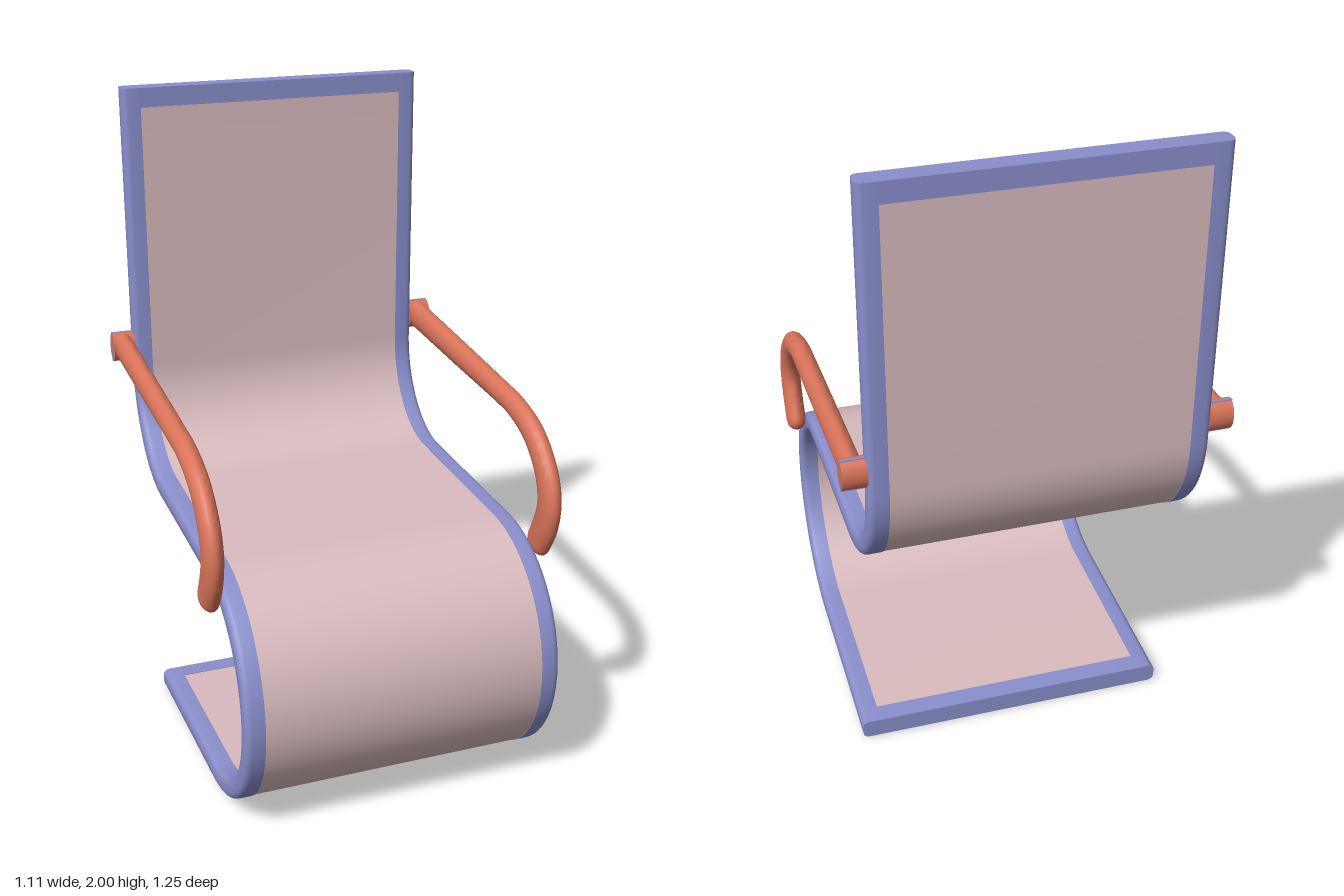
import * as THREE from 'three';
import { mergeVertices, toCreasedNormals } from 'three/addons/utils/BufferGeometryUtils.js';

const HALF = 0.031;   // half thickness of the bent seat
const INNER = 0.43;   // half width of the panel
const OUTER = 0.488;  // half width including the rails

// Sweep a closed section of [x, n] points along a path of [z, y] points.
function sweep(path, sectionAt, crease = 0.6) {
  const pos = [], idx = [];
  const last = path.length - 1;
  const count = sectionAt(0).length;
  path.forEach(([z, y], i) => {
    const a = path[Math.max(i - 1, 0)], b = path[Math.min(i + 1, last)];
    const len = Math.hypot(b[0] - a[0], b[1] - a[1]);
    const tz = (b[0] - a[0]) / len, ty = (b[1] - a[1]) / len;
    for (const [x, n] of sectionAt(i)) pos.push(x, y + n * tz, z - n * ty);
  });
  for (let i = 0; i < last; i++) {
    for (let j = 0; j < count; j++) {
      const a = i * count + j, b = i * count + (j + 1) % count;
      idx.push(a, b, b + count, a, b + count, a + count);
    }
  }
  for (let j = 1; j < count - 1; j++) {
    const e = last * count;
    idx.push(0, j + 1, j, e, e + j, e + j + 1);
  }
  const geometry = new THREE.BufferGeometry();
  geometry.setAttribute('position', new THREE.Float32BufferAttribute(pos, 3));
  geometry.setIndex(idx);
  return toCreasedNormals(mergeVertices(geometry), crease);
}

function arc(cz, cy, rz, ry, from, to, steps) {
  return Array.from({ length: steps + 1 }, (_, i) => {
    const t = THREE.MathUtils.degToRad(from + (to - from) * i / steps);
    return [cz + rz * Math.cos(t), cy + ry * Math.sin(t)];
  });
}

const rect = (x0, x1, h) => [[x0, -h], [x1, -h], [x1, h], [x0, h]];

// Rail section: flat inside, softly rounded outside.
function railSection(side) {
  const r = 0.02, pts = [[INNER, -HALF]];
  for (const [cy, start] of [[-HALF + r, -90], [HALF - r, 0]]) {
    for (let k = 0; k <= 4; k++) {
      const t = THREE.MathUtils.degToRad(start + k * 22.5);
      pts.push([OUTER - r + r * Math.cos(t), cy + r * Math.sin(t)]);
    }
  }
  pts.push([INNER, HALF]);
  return side > 0 ? pts : pts.map(([x, n]) => [-x, n]).reverse();
}

export function createModel() {
  const blue = new THREE.MeshStandardMaterial({ color: 0x8a8fcc });
  blue.name = 'frame blue';
  const pink = new THREE.MeshStandardMaterial({ color: 0xd9bbbe });
  pink.name = 'panel pink';
  const coral = new THREE.MeshStandardMaterial({ color: 0xd9745a });
  coral.name = 'arm coral';

  const model = new THREE.Group();
  model.name = 'cantileverChair';
  const add = (name, geometry, material) => {
    const mesh = new THREE.Mesh(geometry, material);
    mesh.name = name;
    model.add(mesh);
    return mesh;
  };

  // Side profile: base, front bend, seat, rear bend, backrest
  const baseEnd = [-0.365, 0.033], baseInner = [-0.305, 0.0347];
  const topInner = [-0.59, 1.94], topEnd = [-0.59, 2];
  const bends = [
    ...arc(0.245, 0.4, 0.35, 0.35, -90, 90, 40),
    ...arc(-0.28, 1.1, 0.31, 0.33, -90, -180, 20),
  ];

  // Upholstered panel and the crossbars closing it at both ends
  add('panel', sweep([baseInner, ...bends, topInner], () => rect(-INNER, INNER, HALF - 0.002)), pink);
  add('baseCrossbar', sweep([baseEnd, baseInner], () => rect(-INNER, INNER, HALF)), blue);
  add('topCrossbar', sweep([topInner, topEnd], () => rect(-INNER, INNER, HALF)), blue);

  // Armrest path with half thickness as third value
  const armKeys = [
    [-0.59, 1.168, 0.047], [-0.2, 1.138, 0.042], [0.1, 1.115, 0.036], [0.2, 1.104, 0.036],
    [0.33, 1.056, 0.04], [0.42, 0.965, 0.046], [0.445, 0.885, 0.05],
    [0.43, 0.81, 0.053], [0.393, 0.735, 0.05],
  ];
  const armCurve = new THREE.CatmullRomCurve3(armKeys.map(k => new THREE.Vector3(...k)), false, 'centripetal');
  const arm = armCurve.getPoints(64).map(p => [p.x, p.y, p.z]);
  // Rounded lower tip
  const [pz, py, pr] = arm[arm.length - 1];
  const prev = arm[arm.length - 2];
  const step = Math.hypot(pz - prev[0], py - prev[1]);
  for (const t of [0.35, 0.65, 0.87, 0.98]) {
    const d = 0.035 * t / step;
    arm.push([pz + (pz - prev[0]) * d, py + (py - prev[1]) * d, pr * Math.sqrt(1 - t * t)]);
  }

  for (const side of [1, -1]) {
    const label = side > 0 ? 'left' : 'right';
    add(label + 'Rail', sweep([baseEnd, ...bends, topEnd], () => railSection(side)), blue);

    const armSection = i => Array.from({ length: 20 }, (_, k) => {
      const t = k * Math.PI / 10, r = arm[i][2];
      const w = i > 64 ? 0.031 * r / pr : 0.031;
      return [side * 0.519 + w * Math.cos(t), r * Math.sin(t)];
    });
    add(label + 'Armrest', sweep(arm, armSection, 0.9), coral);

    // Rear mount joining the armrest to the rail, with a thin inlay
    const mount = add(label + 'ArmMount', new THREE.CylinderGeometry(0.047, 0.047, 0.07, 24), coral);
    mount.rotation.z = Math.PI / 2;
    mount.scale.z = 0.7;
    mount.position.set(side * 0.52, 1.167, -0.587);
    const inlay = add(label + 'ArmInlay', new THREE.BoxGeometry(0.071, 0.096, 0.009), blue);
    inlay.position.set(side * 0.5205, 1.167, -0.592);
  }
  return model;
}
